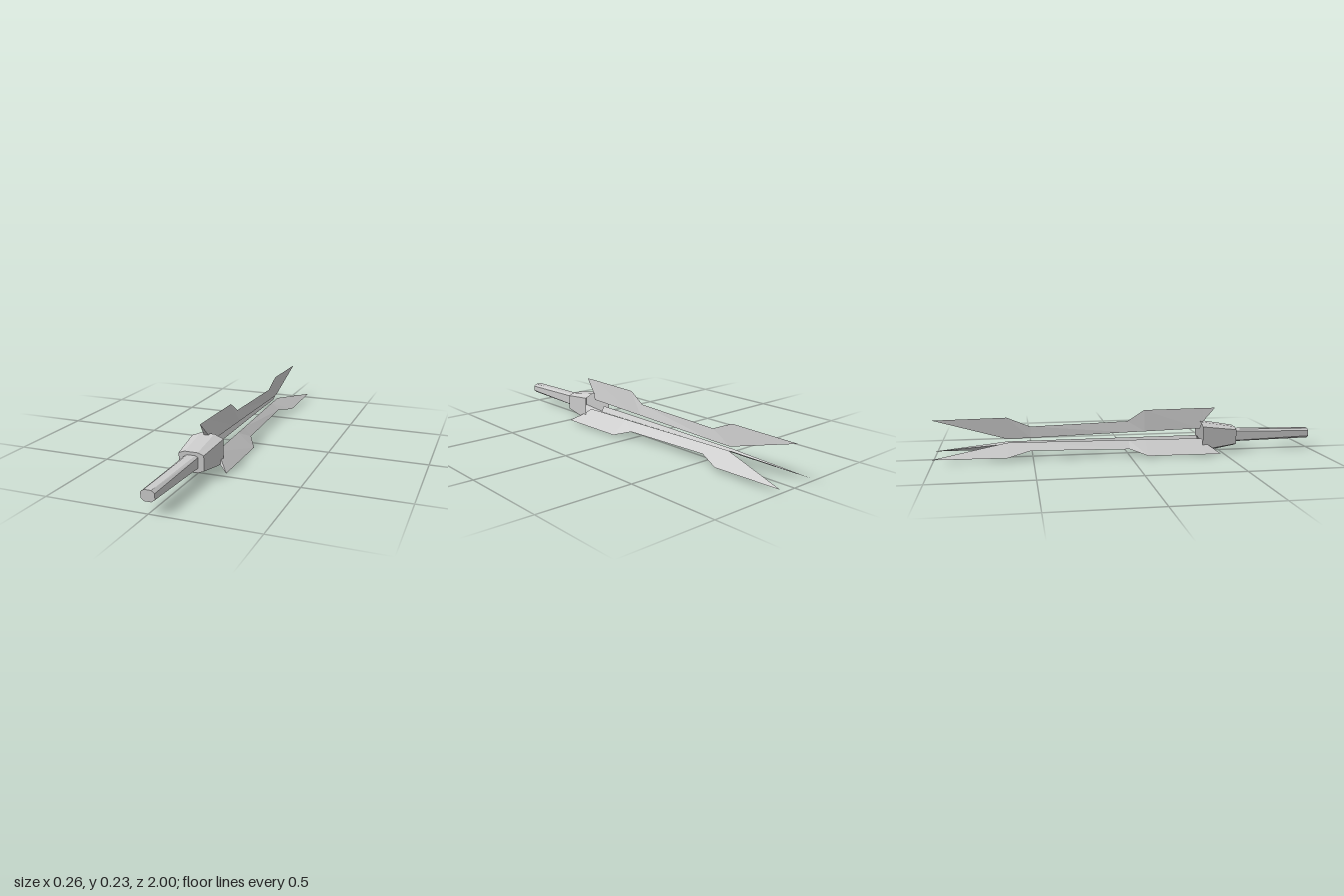
import * as THREE from 'three';

const AXIS_Y = 0.082;
const material = new THREE.MeshStandardMaterial({ color: 0xcccccc, flatShading: true, side: THREE.DoubleSide });

// Joins equal-length rings of [x, y, z] points, ordered front (+z) to back, with optional end caps
function loft(name, rings, capFront, capBack) {
  const n = rings[0].length;
  const index = [];
  for (let r = 0; r < rings.length - 1; r++) {
    for (let i = 0; i < n; i++) {
      const a = r * n + i, b = r * n + (i + 1) % n;
      index.push(a, a + n, b, b, a + n, b + n);
    }
  }
  const last = (rings.length - 1) * n;
  for (let i = 1; i < n - 1; i++) {
    if (capFront) index.push(0, i, i + 1);
    if (capBack) index.push(last, last + i + 1, last + i);
  }
  const geometry = new THREE.BufferGeometry();
  geometry.setAttribute('position', new THREE.Float32BufferAttribute(rings.flat(2), 3));
  geometry.setIndex(index);
  const flat = geometry.toNonIndexed();
  flat.computeVertexNormals();
  const mesh = new THREE.Mesh(flat, material);
  mesh.name = name;
  return mesh;
}

// Eight-sided ring: w, h are half sizes, fw, fh half lengths of the flats
function octagon(z, w, h, fw, fh) {
  return [[w, -fh], [w, fh], [fw, h], [-fw, h], [-w, fh], [-w, -fh], [-fw, -h], [fw, -h]]
    .map(([x, y]) => [x, y, z]);
}

// Wedge section of a fin: thick inner edge, sharp outer edge
const wedge = ([z, inner, outer, half]) => [[half, inner, z], [0, outer, z], [-half, inner, z]];

export function createModel() {
  const group = new THREE.Group();
  const body = new THREE.Group();
  body.name = 'body';
  body.position.y = AXIS_Y;
  group.add(body);

  // Shaft, slightly slimmer at its front end
  body.add(loft('shaft', [
    octagon(1, 0.033, 0.026, 0.017, 0.014),
    octagon(0.58, 0.034, 0.033, 0.02, 0.026),
  ], true, true));

  // Flared collar, open at the back
  body.add(loft('collar', [
    octagon(0.58, 0.063, 0.049, 0.033, 0.038),
    octagon(0.39, 0.082, 0.081, 0.035, 0.062),
  ], true, false));

  // Three long fins around the axis: z, inner radius, outer radius, half thickness
  const sections = [
    [0.475, 0.148, 0.15, 0.001],
    [0.41, 0.08, 0.15, 0.012],
    [0.39, 0.043, 0.15, 0.018],
    [0.09, 0.035, 0.147, 0.015],
    [0, 0.033, 0.09, 0.014],
    [-0.51, 0.018, 0.076, 0.008],
    [-0.63, 0.016, 0.126, 0.007],
    [-1, 0.12, 0.121, 0.0005],
  ];
  ['topFin', 'rightFin', 'leftFin'].forEach((name, i) => {
    const fin = loft(name, sections.map(wedge), true, true);
    fin.rotation.z = i * Math.PI * 2 / 3;
    body.add(fin);
  });
  return group;
}
